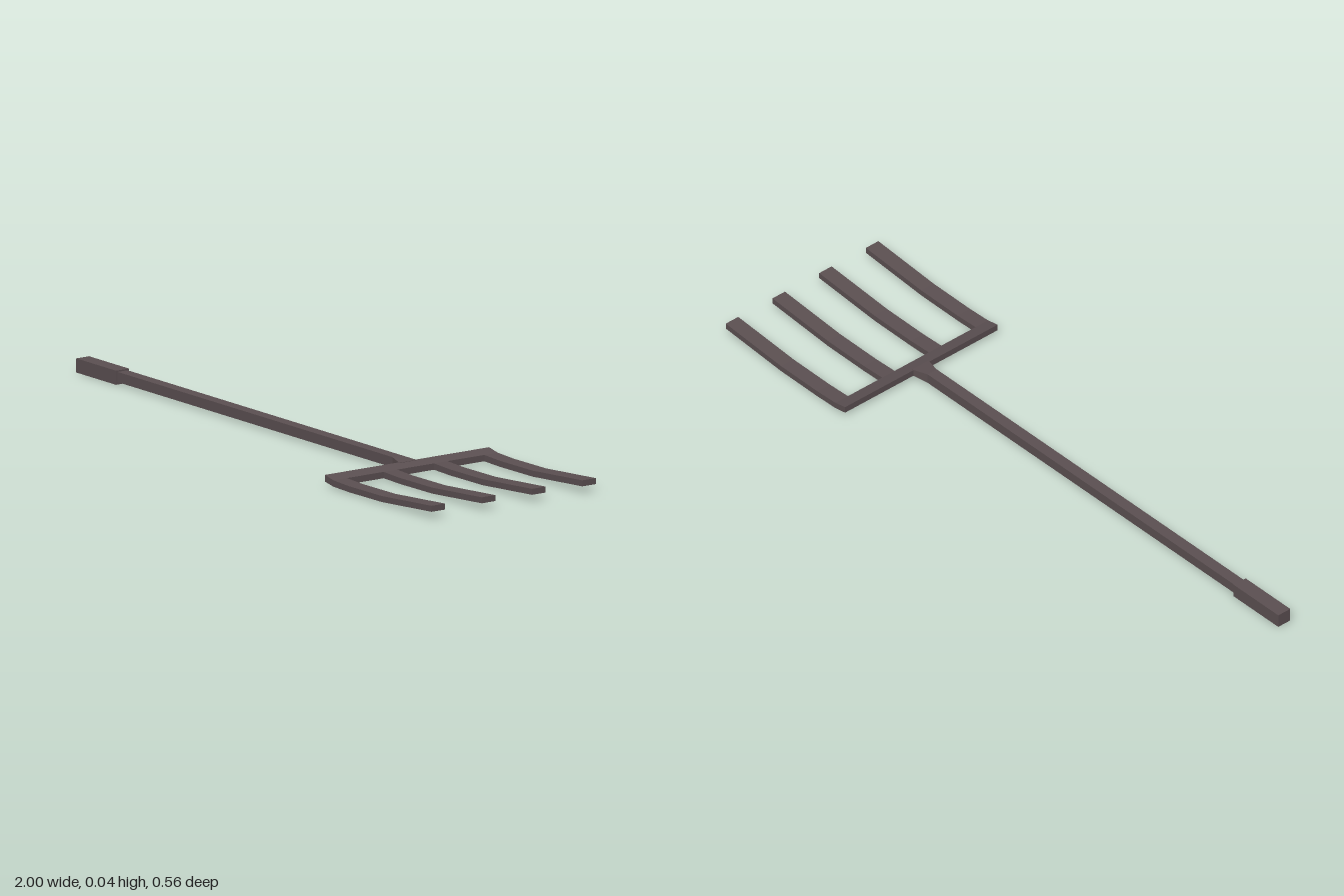
import * as THREE from 'three';

const darkMetal = new THREE.MeshStandardMaterial({ color: 0x5c5052 });
darkMetal.name = 'dark metal';

// Side profile (x, bottom, top) extruded across z from zMin, with the given width
function sideProfile(name, stations, zMin, width) {
  const lower = stations.map(([x, low]) => new THREE.Vector2(x, low));
  const upper = stations.map(([x, , high]) => new THREE.Vector2(x, high)).reverse();
  const shape = new THREE.Shape([...lower, ...upper]);
  const geometry = new THREE.ExtrudeGeometry(shape, { depth: width, bevelEnabled: false });
  geometry.translate(0, 0, zMin);
  const mesh = new THREE.Mesh(geometry, darkMetal);
  mesh.name = name;
  return mesh;
}

// Four-sided bar running along x between two sections {x, low, high, half}
function taperedBar(name, a, b) {
  const geometry = new THREE.BoxGeometry(1, 1, 1).toNonIndexed();
  const p = geometry.attributes.position;
  for (let i = 0; i < p.count; i++) {
    const s = p.getX(i) < 0 ? a : b;
    p.setXYZ(i, s.x, p.getY(i) < 0 ? s.low : s.high, Math.sign(p.getZ(i)) * s.half);
  }
  geometry.computeVertexNormals();
  const mesh = new THREE.Mesh(geometry, darkMetal);
  mesh.name = name;
  return mesh;
}

export function createModel() {
  const fork = new THREE.Group();
  fork.name = 'pitchfork';

  // Handle: thick grip, long shaft and flared neck
  const shaftEnd = { x: 0.46, low: 0.007, high: 0.036, half: 0.017 };
  fork.add(
    taperedBar('grip', { x: -1, low: 0, high: 0.04, half: 0.022 }, { x: -0.815, low: 0, high: 0.04, half: 0.022 }),
    taperedBar('shaft', { ...shaftEnd, x: -0.815 }, shaftEnd),
    taperedBar('neck', shaftEnd, { x: 0.51, low: 0.012, high: 0.031, half: 0.03 })
  );

  // Crossbar, tilted down towards the tines
  fork.add(sideProfile('crossbar', [[0.505, 0.012, 0.031], [0.545, 0.005, 0.023]], -0.281, 0.562));

  // Four tines, level at first and then rising to the tips
  const tine = [[0.545, 0.005, 0.023], [0.62, 0.003, 0.02], [0.77, 0.004, 0.021], [1, 0.02, 0.037]];
  for (const z of [-0.258, -0.086, 0.086, 0.258]) {
    fork.add(sideProfile('tine', tine, z - 0.023, 0.046));
  }
  return fork;
}
